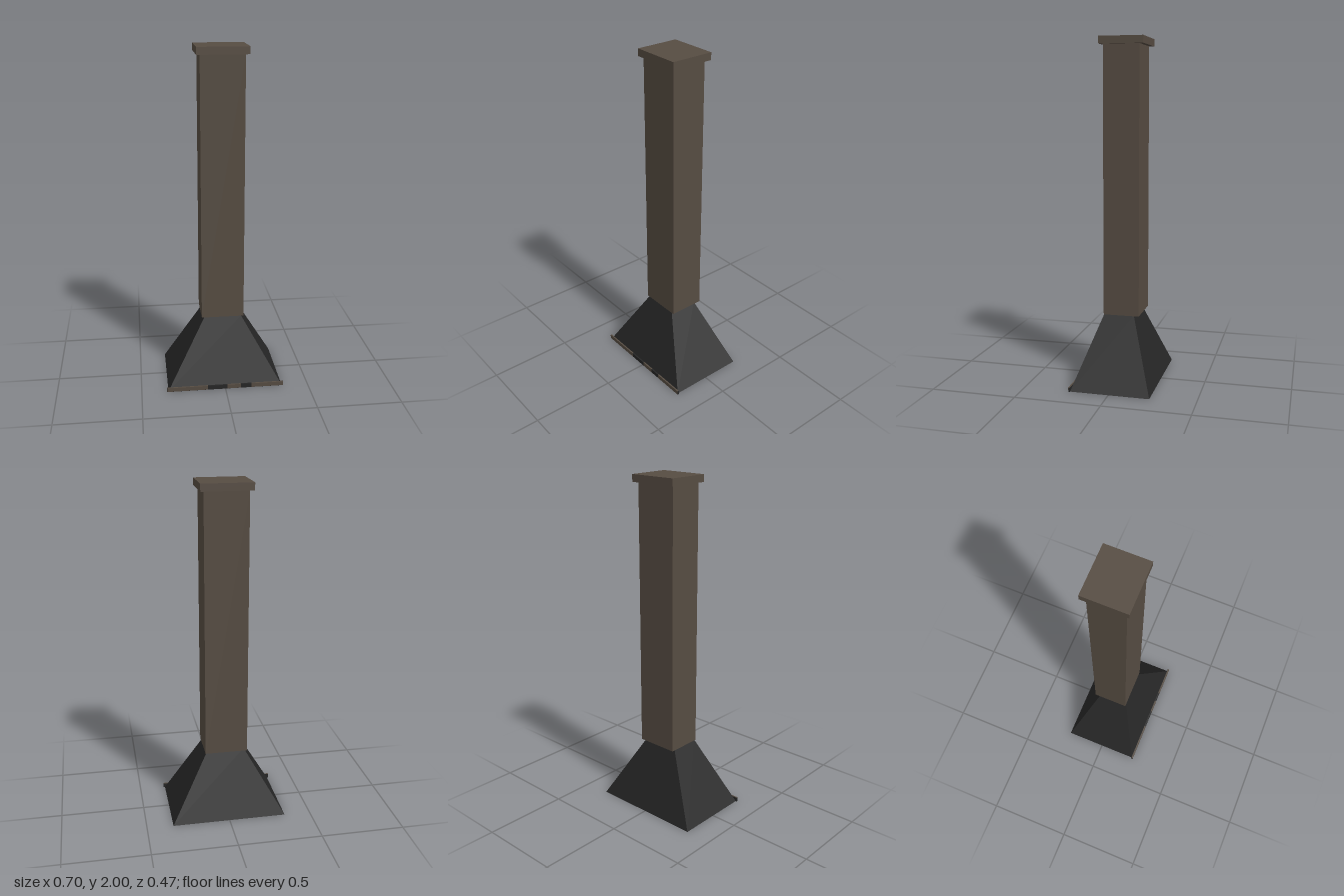
import * as THREE from 'three';

export function createModel() {
  const group = new THREE.Group();

  const bronze = new THREE.MeshStandardMaterial({ color: 0x564c42 });
  bronze.name = 'brown';
  const black = new THREE.MeshStandardMaterial({ color: 0x262626 });
  black.name = 'black';

  // Box given by its extents on each axis
  function box(name, material, [x0, x1], [y0, y1], [z0, z1]) {
    const geometry = new THREE.BoxGeometry(x1 - x0, y1 - y0, z1 - z0);
    geometry.translate((x0 + x1) / 2, (y0 + y1) / 2, (z0 + z1) / 2);
    const mesh = new THREE.Mesh(geometry, material);
    mesh.name = name;
    group.add(mesh);
    return mesh;
  }

  // Flue column and its overhanging cap
  box('flueColumn', bronze, [-0.126, 0.126], [0.405, 1.958], [-0.126, 0.084]);
  box('flueCap', bronze, [-0.147, 0.147], [1.958, 2], [-0.152, 0.104]);

  // Tapered hood: a box whose upper rim is drawn in
  const hood = box('hood', black, [-0.342, 0.342], [0, 0.405], [-0.237, 0.225]);
  const p = hood.geometry.attributes.position;
  for (let i = 0; i < p.count; i++) {
    if (p.getY(i) > 0.2) {
      p.setX(i, Math.sign(p.getX(i)) * 0.112);
      p.setZ(i, p.getZ(i) > 0 ? 0.084 : -0.094);
    }
  }
  hood.geometry.computeVertexNormals();

  // Front lip with brown facing strips
  box('frontLip', black, [-0.35, 0.35], [0, 0.025], [0.223, 0.232]);
  for (const span of [[-0.349, -0.105], [0.012, 0.092], [0.158, 0.349]]) {
    box('lipFacing', bronze, span, [0.001, 0.026], [0.2245, 0.233]);
  }

  return group;
}
